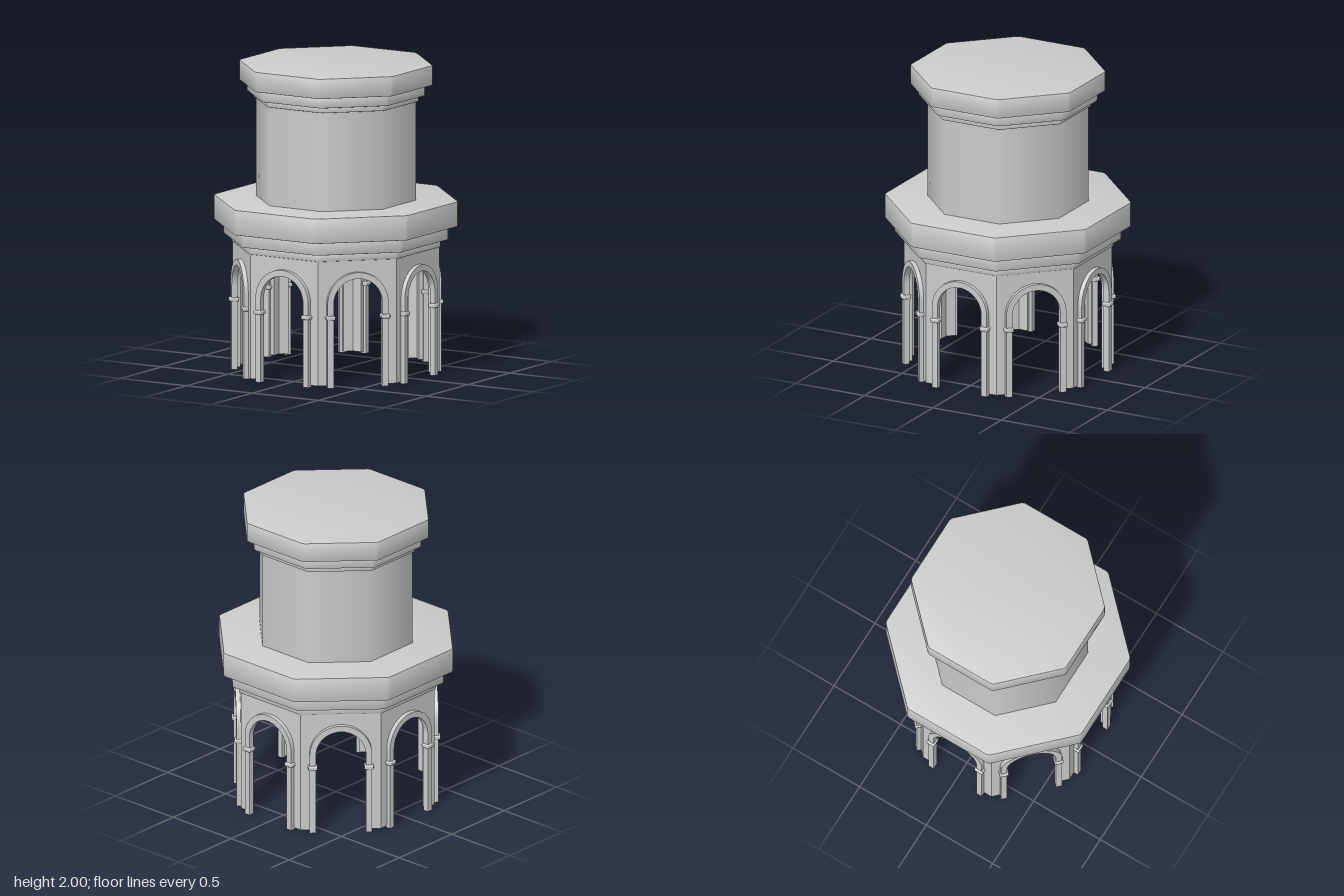
import * as THREE from 'three';
import { toCreasedNormals } from 'three/addons/utils/BufferGeometryUtils.js';
import { RoundedBoxGeometry } from 'three/addons/geometries/RoundedBoxGeometry.js';

const SIDES = 8;
const TAN = Math.tan(Math.PI / SIDES);
const WALL = 0.62;        // distance from the axis to the arcade wall face
const THICK = 0.035;
const SPRING = 0.545;     // height of the arch centre

const material = new THREE.MeshStandardMaterial({ color: 0xcccccc });

function add(parent, name, geometry) {
  const mesh = new THREE.Mesh(geometry, material);
  mesh.name = name;
  parent.add(mesh);
  return mesh;
}

// Octagon with slightly clipped corners, given its apothem
function octagon(apothem, clip) {
  const half = apothem * TAN - clip;
  const points = [];
  for (let i = 0; i < SIDES; i++) {
    const turn = (i * Math.PI * 2) / SIDES;
    for (const side of [-half, half]) {
      points.push(new THREE.Vector2(apothem, side).rotateAround(new THREE.Vector2(), turn));
    }
  }
  return new THREE.Shape(points);
}

// Octagonal slab from y0 to y1 with softened edges
function slab(parent, name, apothem, y0, y1, bevel = 0.005) {
  const geometry = new THREE.ExtrudeGeometry(octagon(apothem - bevel, 0.01), {
    depth: y1 - y0 - 2 * bevel, bevelEnabled: bevel > 0,
    bevelSize: bevel, bevelThickness: bevel, bevelSegments: 2,
  });
  geometry.translate(0, 0, bevel).rotateX(-Math.PI / 2).translate(0, y0, 0);
  add(parent, name, toCreasedNormals(geometry, 0.6));
}

// Wall panel with an arched doorway; its back is mitred to meet its neighbours
function wallPanel() {
  const half = WALL * TAN;
  const r = 0.18;
  const shape = new THREE.Shape();
  shape.moveTo(-half, 0.012);
  shape.lineTo(-r, 0.012);
  shape.lineTo(-r, SPRING);
  shape.absarc(0, SPRING, r, Math.PI, 0, true);
  shape.lineTo(r, 0.012);
  shape.lineTo(half, 0.012);
  shape.lineTo(half, 0.825);
  shape.lineTo(-half, 0.825);
  const geometry = new THREE.ExtrudeGeometry(shape, { depth: THICK, bevelEnabled: false, curveSegments: 24 });
  geometry.translate(0, 0, WALL - THICK);
  const p = geometry.attributes.position;
  for (let i = 0; i < p.count; i++) {
    if (Math.abs(p.getX(i)) > half - 0.001) p.setX(i, Math.sign(p.getX(i)) * p.getZ(i) * TAN);
  }
  return toCreasedNormals(geometry, 0.5);
}

// Raised surround: two posts joined by a round arch
function surround() {
  const outer = 0.2, inner = 0.16;
  const shape = new THREE.Shape();
  shape.moveTo(-outer, 0);
  shape.lineTo(-inner, 0);
  shape.lineTo(-inner, SPRING);
  shape.absarc(0, SPRING, inner, Math.PI, 0, true);
  shape.lineTo(inner, 0);
  shape.lineTo(outer, 0);
  shape.lineTo(outer, SPRING);
  shape.absarc(0, SPRING, outer, 0, Math.PI, false);
  const geometry = new THREE.ExtrudeGeometry(shape, { depth: 0.038, bevelEnabled: false, curveSegments: 24 });
  geometry.translate(0, 0, 0.61);
  return toCreasedNormals(geometry, 0.5);
}

export function createModel() {
  const model = new THREE.Group();
  model.name = 'octagonalTower';

  // Open arcade of eight arched bays
  const panel = wallPanel();
  const trim = surround();
  const capital = new RoundedBoxGeometry(0.06, 0.028, 0.06, 2, 0.008);
  for (let i = 0; i < SIDES; i++) {
    const bay = new THREE.Group();
    bay.name = 'archBay';
    bay.rotation.y = (i * Math.PI * 2) / SIDES;
    add(bay, 'archWall', panel);
    add(bay, 'archSurround', trim);
    for (const side of [-1, 1]) {
      add(bay, 'capital', capital).position.set(side * 0.18, 0.455, 0.63);
    }
    model.add(bay);
  }

  // Stepped lower cornice and terrace
  slab(model, 'lowerMoulding', 0.63, 0.82, 0.875);
  slab(model, 'lowerStep', 0.677, 0.87, 0.962);
  slab(model, 'terrace', 0.734, 0.957, 1.12);

  // Upper drum, shaded softly around its eight sides
  const drum = new THREE.CylinderGeometry(0.48 / Math.cos(Math.PI / 8), 0.48 / Math.cos(Math.PI / 8), 0.66, SIDES, 1, true);
  drum.rotateY(Math.PI / 8).translate(0, 1.445, 0);
  add(model, 'drum', drum);

  // Stepped upper cornice and roof
  slab(model, 'upperMoulding', 0.498, 1.762, 1.805);
  slab(model, 'upperStep', 0.535, 1.8, 1.875);
  slab(model, 'roof', 0.582, 1.87, 2);

  return model;
}
